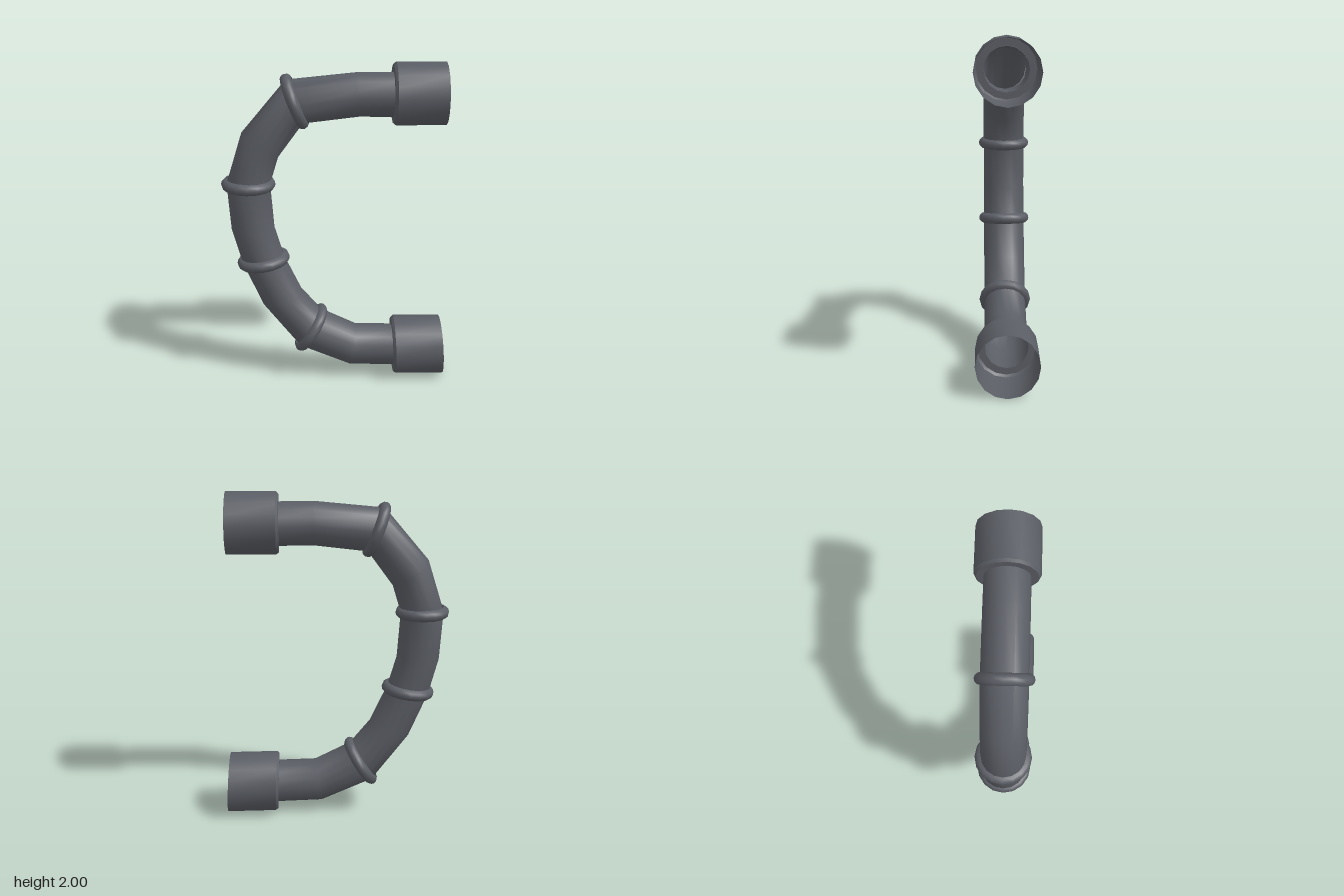
import * as THREE from 'three';
import { toCreasedNormals } from 'three/addons/utils/BufferGeometryUtils.js';

const SIDES = 16;
const R = 0.13;

// Skin a row of round sections: [x, y, heading in degrees, radius, in-plane stretch]
function sweep(sections) {
  const pos = [], index = [];
  for (const [x, y, deg, r = R, k = 1] of sections) {
    const a = THREE.MathUtils.degToRad(deg);
    for (let j = 0; j < SIDES; j++) {
      const f = (j / SIDES) * Math.PI * 2;
      const u = r * k * Math.cos(f);
      pos.push(x - Math.sin(a) * u, y + Math.cos(a) * u, r * Math.sin(f));
    }
  }
  for (let i = 0; i < sections.length - 1; i++) {
    for (let j = 0; j < SIDES; j++) {
      const a = i * SIDES + j, b = i * SIDES + (j + 1) % SIDES;
      index.push(a, b, a + SIDES, b, b + SIDES, a + SIDES);
    }
  }
  const geo = new THREE.BufferGeometry();
  geo.setAttribute('position', new THREE.Float32BufferAttribute(pos, 3));
  geo.setIndex(index);
  return toCreasedNormals(geo, 0.68);
}

export function createModel() {
  const model = new THREE.Group();
  model.name = 'bentPipe';
  const material = new THREE.MeshStandardMaterial({ color: 0x5a5d64, side: THREE.DoubleSide });
  const add = (name, sections) => {
    const mesh = new THREE.Mesh(sweep(sections), material);
    mesh.name = name;
    model.add(mesh);
  };

  // Joints that carry a raised ring, from top to bottom
  const joints = [
    [-0.238, 1.773, 201, R, 1.06],
    [-0.52, 1.275, 269.5],
    [-0.442, 0.787, 278],
    [-0.155, 0.318, 328, R, 1.03],
  ];

  // Hollow pipe with one bend between neighbouring joints
  add('pipe', [
    [0.34, 1.81, 180],
    [0.13, 1.812, 181],
    joints[0],
    [-0.445, 1.515, 234.5],
    joints[1],
    [-0.5, 0.993, 273],
    joints[2],
    [-0.33, 0.538, 287],
    joints[3],
    [0.11, 0.197, 351],
    [0.365, 0.19, 361],
  ]);

  // Rounded rings at the joints
  joints.forEach(([x, y, deg, , k], n) => {
    const a = THREE.MathUtils.degToRad(deg);
    const sections = [];
    for (let i = 0; i <= 6; i++) {
      const f = (i / 6) * Math.PI;
      const t = -0.034 * Math.cos(f);
      sections.push([x + t * Math.cos(a), y + t * Math.sin(a), deg, 0.128 + 0.034 * Math.sin(f), k]);
    }
    add('jointRing' + (n + 1), sections);
  });

  // Open sockets with a bevelled shoulder at both ends
  add('upperSocket', [
    [0.335, 1.812, 0, R],
    [0.335, 1.814, 0, 0.172],
    [0.35, 1.815, 0, 0.185],
    [0.642, 1.815, 0.5, 0.185],
  ]);
  add('lowerSocket', [
    [0.36, 0.19, 2, R],
    [0.36, 0.19, 2, 0.172],
    [0.375, 0.19, 2, 0.185],
    [0.67, 0.187, 3, 0.185],
  ]);

  return model;
}
